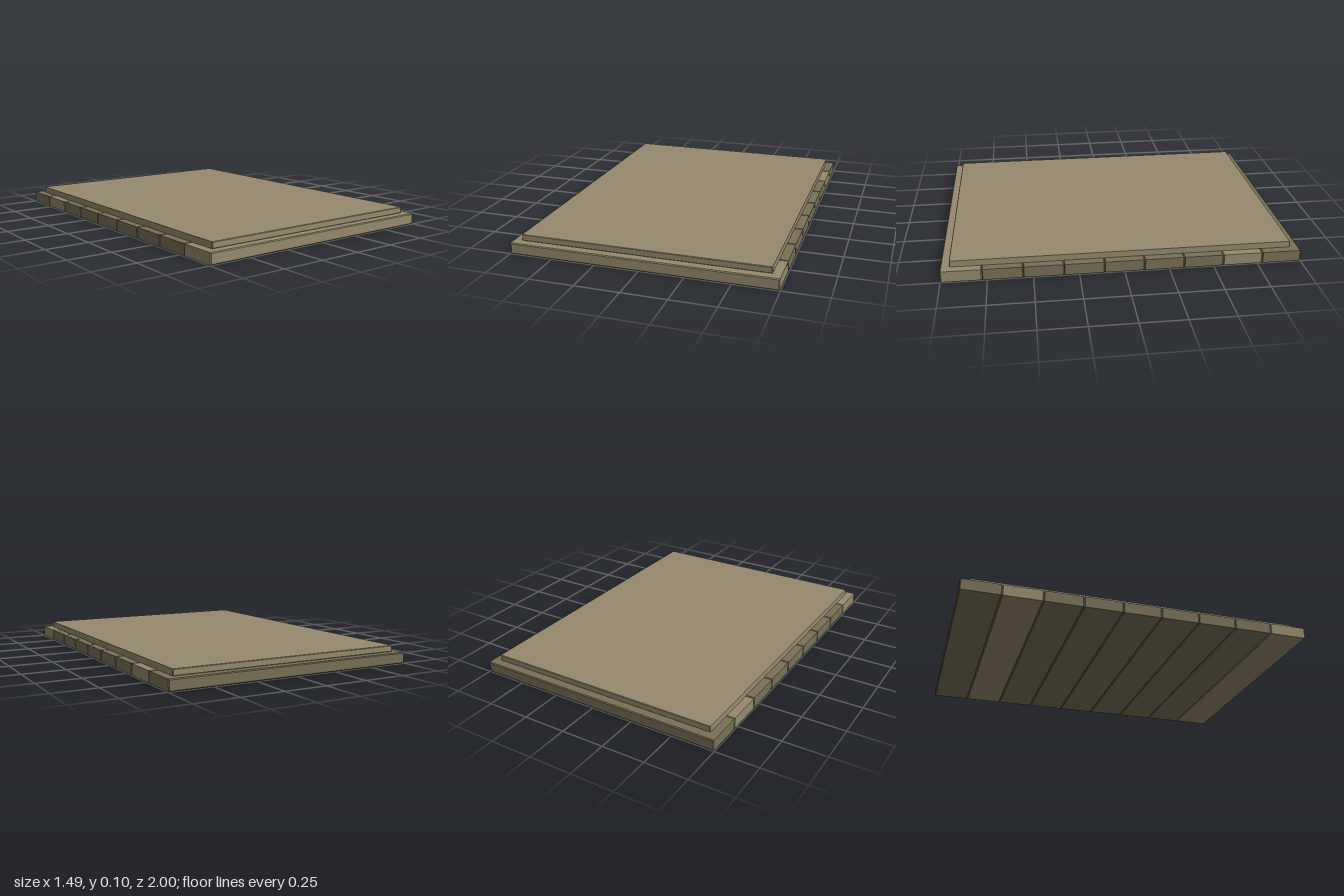
import * as THREE from 'three';

const LIGHT = 0x968b6d;
const DARK = 0x797158;

// Box with a flat chamfer on every edge, centred on the origin
function chamferedBox(w, h, d, c) {
  const x = w / 2 - c, y = h / 2 - c;
  const shape = new THREE.Shape([
    new THREE.Vector2(-x, -y), new THREE.Vector2(x, -y),
    new THREE.Vector2(x, y), new THREE.Vector2(-x, y),
  ]);
  const geometry = new THREE.ExtrudeGeometry(shape, {
    depth: d - 2 * c, bevelEnabled: true, bevelThickness: c, bevelSize: c, bevelSegments: 1,
  });
  return geometry.translate(0, 0, c - d / 2);
}

export function createModel() {
  const model = new THREE.Group();
  model.name = 'plankPlatform';
  const light = new THREE.MeshStandardMaterial({ color: LIGHT, flatShading: true });
  const dark = new THREE.MeshStandardMaterial({ color: DARK, flatShading: true });

  // Row of planks running across the width, from back to front
  const count = 9, pitch = 2 / count, thickness = 0.064;
  const plankGeometry = chamferedBox(1.492, thickness, pitch, 0.005);
  const lightPlanks = [1, 8];
  const planks = new THREE.Group();
  planks.name = 'planks';
  for (let i = 0; i < count; i++) {
    const plank = new THREE.Mesh(plankGeometry, lightPlanks.includes(i) ? light : dark);
    plank.name = `plank${i + 1}`;
    plank.position.set(0, thickness / 2, -1 + pitch * (i + 0.5));
    planks.add(plank);
  }
  model.add(planks);

  // Thin panel lying on the planks
  const panel = new THREE.Mesh(chamferedBox(1.396, 0.036, 1.9, 0.003), light);
  panel.name = 'topPanel';
  panel.position.y = thickness + 0.018;
  model.add(panel);

  return model;
}
